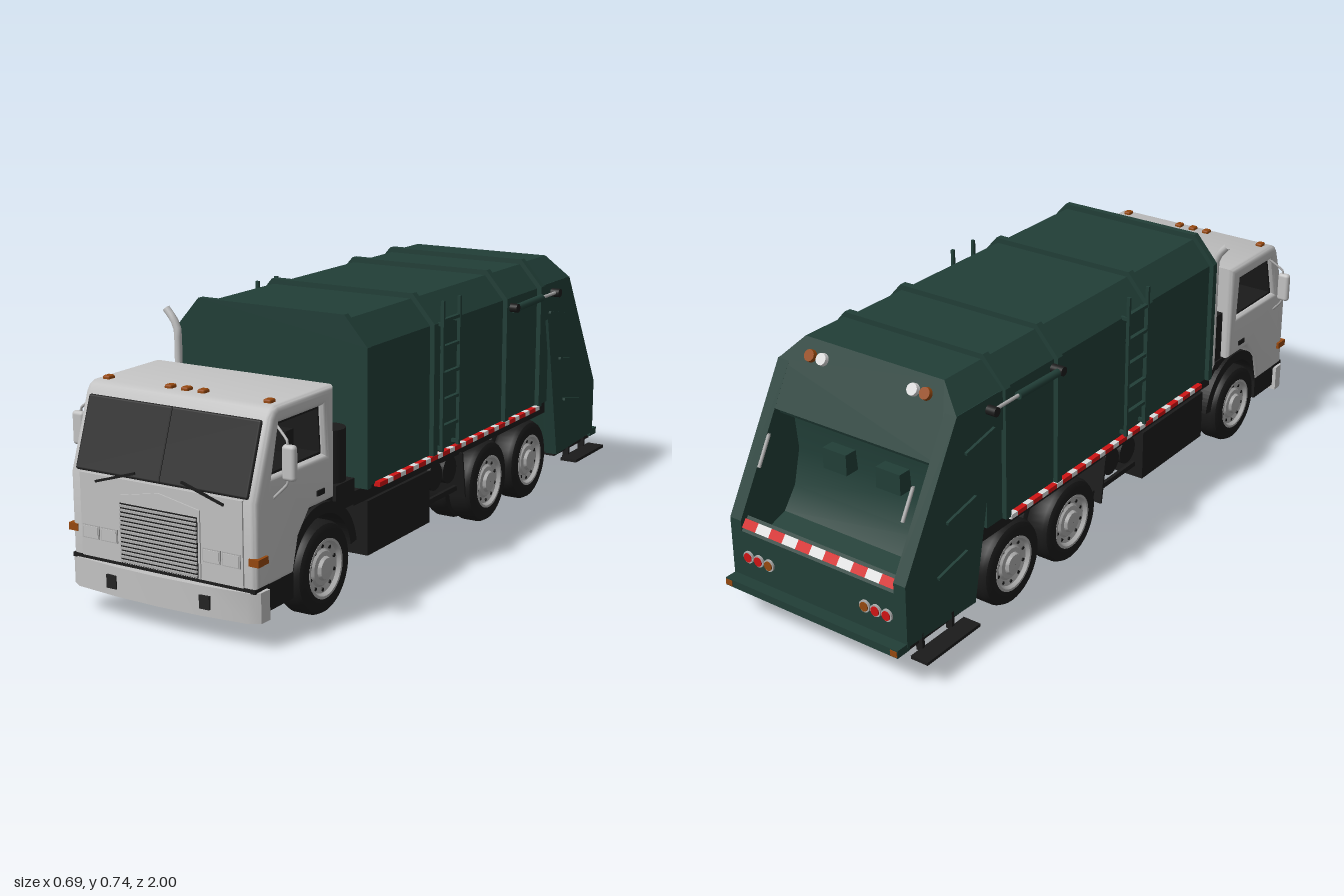
import * as THREE from 'three';
import { toCreasedNormals } from 'three/addons/utils/BufferGeometryUtils.js';
import { RoundedBoxGeometry } from 'three/addons/geometries/RoundedBoxGeometry.js';

const mat = (name, color) => Object.assign(new THREE.MeshStandardMaterial({ color }), { name });

export function createModel() {
  const green = mat('body green', 0x213e37), paint = mat('cab paint', 0xc2c2c2);
  const black = mat('chassis black', 0x1b1b1b), glass = mat('dark glass', 0x242424);
  const metal = mat('wheel metal', 0xadadad), red = mat('reflector red', 0xd01414);
  const white = mat('reflector white', 0xdcdcdc), orange = mat('marker orange', 0x95480f);
  const model = new THREE.Group();

  const add = (name, geo, m, x = 0, y = 0, z = 0, parent = model) => {
    const mesh = new THREE.Mesh(geo, m);
    mesh.name = name;
    mesh.position.set(x, y, z);
    parent.add(mesh);
    return mesh;
  };
  // Box given by its limits on each axis
  const box = (name, m, x0, x1, y0, y1, z0, z1) =>
    add(name, new THREE.BoxGeometry(Math.abs(x1 - x0), y1 - y0, z1 - z0), m, (x0 + x1) / 2, (y0 + y1) / 2, (z0 + z1) / 2);
  const shapeOf = pts => new THREE.Shape(pts.map(p => new THREE.Vector2(...p)));
  // Side profile of [z, y] points, extruded across x
  const across = (pts, x0, x1, holes = [], bevel = 0) => {
    const s = shapeOf(pts);
    s.holes = holes.map(shapeOf);
    const geo = new THREE.ExtrudeGeometry(s, { depth: x1 - x0 - 2 * bevel, bevelEnabled: bevel > 0,
      bevelSize: bevel, bevelThickness: bevel, bevelOffset: -bevel, bevelSegments: 4 });
    return geo.rotateY(-Math.PI / 2).translate(x1 - bevel, 0, 0);
  };
  const along = (pts, depth) => new THREE.ExtrudeGeometry(shapeOf(pts), { depth, bevelEnabled: false });
  const cylX = (name, m, r, x0, x1, y, z) =>
    add(name, new THREE.CylinderGeometry(r, r, Math.abs(x1 - x0), 24).rotateZ(Math.PI / 2), m, (x0 + x1) / 2, y, z);
  const tube = (name, m, r, pts) => add(name, new THREE.TubeGeometry(
    new THREE.CatmullRomCurve3(pts.map(p => new THREE.Vector3(...p)), false, 'catmullrom', 0.1), 24, r, 10), m);
  const both = fn => [1, -1].forEach(fn);
  // Body cross-section with chamfered upper corners
  const section = (w, base, shoulder, top, tw) =>
    [[-w, base], [w, base], [w, shoulder], [tw, top], [-tw, top], [-w, shoulder]];

  // Cab shell with open side windows and front wheel arch
  const windowPts = [[0.665, 0.42], [0.898, 0.42], [0.865, 0.545], [0.675, 0.545]];
  const innerPts = [[0.671, 0.426], [0.889, 0.426], [0.86, 0.539], [0.68, 0.539]];
  const cab = across([[0.62, 0.59], [0.62, 0.295], [0.735, 0.295], [0.785, 0.24], [0.81, 0.15], [0.975, 0.15],
    [0.975, 0.37], [0.905, 0.565], [0.893, 0.582], [0.875, 0.59]], -0.283, 0.283, [windowPts], 0.016);
  add('cabShell', toCreasedNormals(cab, 0.7), paint);
  add('cabLining', across(windowPts, -0.268, 0.268, [innerPts]), black);
  both(s => box('seat', black, s * 0.07, s * 0.2, 0.42, 0.48, 0.685, 0.72));

  // Windshield and its divider
  const ws = new THREE.Group();
  ws.name = 'windshield';
  ws.position.set(0, 0.469, 0.942);
  ws.rotation.x = -0.345;
  model.add(ws);
  add('windshieldGlass', new RoundedBoxGeometry(0.524, 0.192, 0.012, 3, 0.006), glass, 0, 0, 0, ws);
  add('windshieldDivider', new THREE.BoxGeometry(0.004, 0.186, 0.004), black, 0, 0, 0.006, ws);
  both(s => {
    const w = add('wiper', new THREE.BoxGeometry(0.13, 0.006, 0.006), black, s * 0.133, 0.377, 0.982);
    w.rotation.z = -s * 0.3;
  });

  // Nose panel, grille and headlights
  box('nosePanel', paint, -0.247, 0.247, 0.157, 0.375, 0.95, 0.98);
  add('grilleSurround', along([[-0.124, 0.16], [0.124, 0.16], [0.124, 0.333], [0, 0.357], [-0.124, 0.333]], 0.007), paint, 0, 0, 0.977);
  box('grilleBack', black, -0.118, 0.118, 0.16, 0.315, 0.98, 0.985);
  for (let i = 0; i < 14; i++) box('grilleSlat', metal, -0.117, 0.117, 0.163 + i * 0.011, 0.1685 + i * 0.011, 0.982, 0.99);
  both(s => {
    for (const x of [0.157, 0.215]) {
      box('headlightFrame', metal, s * x - 0.026, s * x + 0.026, 0.205, 0.241, 0.978, 0.983);
      box('headlight', paint, s * x - 0.023, s * x + 0.023, 0.208, 0.238, 0.98, 0.985);
    }
    box('cornerMarker', orange, s * 0.262, s * 0.291, 0.215, 0.234, 0.935, 0.978);
    box('doorHandle', black, s * 0.28, s * 0.287, 0.322, 0.336, 0.675, 0.71);
    box('cabStep', black, s * 0.2, s * 0.278, 0.085, 0.155, 0.81, 0.94);
  });
  for (const x of [-0.245, -0.05, 0, 0.05, 0.245])
    add('roofMarker', new RoundedBoxGeometry(0.022, 0.014, 0.026, 2, 0.005), orange, x, 0.592, 0.855);

  // Bumper, curved back at its ends
  const plan = [[-0.29, -0.93], [-0.288, -0.965], [-0.26, -0.982], [-0.13, -0.995], [0, -0.999],
    [0.13, -0.995], [0.26, -0.982], [0.288, -0.965], [0.29, -0.93]];
  add('frontBumper', toCreasedNormals(along(plan, 0.078).rotateX(-Math.PI / 2), 0.7), paint, 0, 0.07, 0);
  box('bumperGap', black, -0.28, 0.28, 0.146, 0.157, 0.92, 0.978);
  both(s => box('towSlot', glass, s * 0.143 - 0.015, s * 0.143 + 0.015, 0.09, 0.125, 0.99, 0.999));

  // Mirrors on bent arms
  both(s => {
    add('mirror', new RoundedBoxGeometry(0.038, 0.09, 0.022, 3, 0.01), paint, s * 0.321, 0.457, 0.885);
    tube('mirrorArm', metal, 0.0035, [[s * 0.27, 0.545, 0.87], [s * 0.315, 0.51, 0.885],
      [s * 0.315, 0.405, 0.885], [s * 0.275, 0.36, 0.9]]);
  });

  // Exhaust stack and equipment behind the cab
  tube('exhaustStack', paint, 0.011, [[-0.19, 0.285, 0.52], [-0.265, 0.29, 0.52], [-0.278, 0.31, 0.52],
    [-0.278, 0.5, 0.52], [-0.278, 0.65, 0.52], [-0.29, 0.68, 0.52], [-0.315, 0.708, 0.52]]);
  add('airCleaner', new THREE.CylinderGeometry(0.045, 0.045, 0.17, 24), black, 0.225, 0.375, 0.56);
  box('airIntake', black, 0.19, 0.275, 0.25, 0.32, 0.515, 0.605);
  box('engineCover', black, -0.18, 0.17, 0.25, 0.36, 0.52, 0.62);
  cylX('crossTank', black, 0.04, -0.18, 0.17, 0.4, 0.56);
  box('rearCabBox', black, -0.26, -0.19, 0.25, 0.45, 0.54, 0.61);

  // Main body and ribs
  add('body', along(section(0.286, 0.285, 0.655, 0.725, 0.225), 1.1), green, 0, 0, -0.63 + 0.01);
  for (const [z, d] of [[0.47, 0.02], [0.115, 0.022], [-0.325, 0.022], [-0.555, 0.022]])
    add('bodyRib', along(section(0.3, 0.285, 0.66, 0.74, 0.23), d), green, 0, 0, z);
  both(s => {
    // Side ladder
    for (const z of [0.004, 0.1]) {
      box('ladderRail', green, s * 0.3, s * 0.31, 0.295, 0.72, z - 0.004, z + 0.004);
      for (const y of [0.3, 0.65]) box('ladderBracket', green, s * 0.28, s * 0.31, y, y + 0.01, z - 0.004, z + 0.004);
    }
    for (let i = 0; i < 5; i++) box('ladderRung', green, s * 0.297, s * 0.309, 0.36 + i * 0.075, 0.369 + i * 0.075, 0.004, 0.1);
    // Reflective side strip
    for (let i = 0; i < 14; i++) {
      const z = 0.43 - i * 0.069;
      box('redReflector', red, s * 0.284, s * 0.302, 0.277, 0.29, z - 0.041, z);
      box('whiteReflector', white, s * 0.284, s * 0.302, 0.277, 0.29, z - 0.069, z - 0.041);
    }
    // Tailgate lift cylinder
    const lift = add('liftCylinder', new THREE.CylinderGeometry(0.011, 0.011, 0.19, 16).rotateX(Math.PI / 2), green, s * 0.31, 0.63, -0.42);
    lift.rotation.x = 0.02;
    add('liftRod', new THREE.CylinderGeometry(0.005, 0.005, 0.13, 12).rotateX(Math.PI / 2), metal, s * 0.31, 0.632, -0.56);
    for (const z of [-0.33, -0.62]) cylX('liftPin', black, 0.013, s * 0.285, s * 0.323, 0.631, z);
  });

  // Tailgate top: chamfered section sheared to the rear slope
  const slopeZ = y => -0.71 - (0.725 - y) * 0.57;
  const upper = along(section(0.295, 0.55, 0.66, 0.728, 0.228), 1);
  const p = upper.attributes.position;
  for (let i = 0; i < p.count; i++) p.setZ(i, p.getZ(i) < 0.5 ? slopeZ(p.getY(i)) : -0.56);
  upper.computeVertexNormals();
  add('tailgateTop', upper, green);
  // Hopper with scooped floor, between the side plates
  add('hopper', toCreasedNormals(across([[-0.6, 0.56], [-0.803, 0.56], [-0.79, 0.53], [-0.74, 0.5], [-0.73, 0.4],
    [-0.755, 0.3], [-0.8, 0.24], [-0.86, 0.22], [-0.91, 0.24], [-0.935, 0.29], [-0.962, 0.255],
    [-0.962, 0.11], [-0.69, 0.1], [-0.62, 0.4]], -0.258, 0.258), 0.6), green);
  both(s => {
    const x0 = s > 0 ? 0.257 : -0.295;
    add('tailgateSide', across([[-0.575, 0.662], [-0.746, 0.662], [-0.962, 0.285], [-0.962, 0.11], [-0.685, 0.098]], x0, x0 + 0.038), green);
    box('packerLug', green, s * 0.05, s * 0.13, 0.4, 0.46, -0.775, -0.73);
    // Slanted stiffeners on the side plate
    for (const [y, z] of [[0.56, -0.66], [0.4, -0.74], [0.26, -0.78]]) {
      const rib = add('sideStiffener', new THREE.BoxGeometry(0.014, 0.008, 0.12), green, s * 0.296, y, z);
      rib.rotation.x = -0.2;
    }
    const grab = [[0.24, 0.5], [0.24, 0.42]].map(([x, y]) => [s * x, y, slopeZ(y) - 0.015]);
    tube('grabHandle', metal, 0.005, grab);
    // Work lights on the slope
    for (const [x, m] of [[0.15, white], [0.19, orange]]) {
      const l = add('workLight', new THREE.CylinderGeometry(0.016, 0.018, 0.016, 20), m, s * x, 0.69, slopeZ(0.69) - 0.004);
      l.rotation.x = -1.054;
    }
    // Tail lights
    [red, red, orange].forEach((m, i) => {
      const x = s * (0.235 - i * 0.036);
      add('tailLightRim', new THREE.CylinderGeometry(0.017, 0.017, 0.008, 20).rotateX(Math.PI / 2), metal, x, 0.185, -0.964);
      add('tailLight', new THREE.CylinderGeometry(0.013, 0.013, 0.008, 20).rotateX(Math.PI / 2), m, x, 0.185, -0.967);
    });
    // Riding step
    box('ridingStep', black, s * 0.29, s * 0.344, 0.067, 0.076, -0.945, -0.73);
    for (const z of [-0.9, -0.78]) box('stepHanger', black, s * 0.275, s * 0.295, 0.067, 0.12, z - 0.005, z + 0.005);
    box('endMarker', orange, s * 0.27, s * 0.292, 0.1, 0.116, -1, -0.985);
  });
  for (let i = 0; i < 11; i++) {
    const r = add('sillReflector', new THREE.BoxGeometry(0.0465, 0.026, 0.006), i % 2 ? white : red, -0.2325 + i * 0.0465, 0.274, -0.951);
    r.rotation.x = 0.66;
  }
  box('rearBumper', green, -0.293, 0.293, 0.097, 0.119, -0.998, -0.95);
  box('tailgateFloor', black, -0.285, 0.285, 0.09, 0.1, -0.96, -0.69);

  // Chassis
  box('subframe', black, -0.275, 0.275, 0.245, 0.284, -0.63, 0.52);
  box('cabFloor', black, -0.2, 0.2, 0.1, 0.3, 0.55, 0.93);
  box('cabRearFloor', black, -0.265, 0.265, 0.27, 0.297, 0.55, 0.72);
  box('gearbox', black, -0.07, 0.07, 0.12, 0.25, 0.25, 0.56);
  add('driveShaft', new THREE.CylinderGeometry(0.018, 0.018, 0.8, 12).rotateX(Math.PI / 2), black, 0, 0.15, -0.1);
  both(s => {
    box('frameRail', black, s * 0.08, s * 0.115, 0.17, 0.25, -0.68, 0.6);
    box('sideTank', black, s * 0.13, s * 0.285, 0.095, 0.245, 0.13, 0.465);
    for (const z of [0.07, -0.015]) cylX('airTank', black, 0.04, s * 0.1, s * 0.27, 0.21, z);
    box('sideRail', black, s * 0.25, s * 0.26, 0.13, 0.145, -0.1, 0.13);
    const flap = box('mudflap', black, s * 0.135, s * 0.285, 0.11, 0.25, -0.078, -0.072);
    flap.rotation.x = 0.15;
    // Front fender arch
    const arch = new THREE.Shape();
    arch.absarc(0.672, 0.125, 0.168, 0.15, Math.PI - 0.15, false);
    arch.absarc(0.672, 0.125, 0.138, Math.PI - 0.15, 0.15, true);
    const x0 = s > 0 ? 0.18 : -0.276;
    add('frontFender', across(arch.getPoints(20).map(v => [v.x, v.y]), x0, x0 + 0.096), black);
  });

  // Wheels and axles
  const v2 = pts => pts.map(q => new THREE.Vector2(...q));
  const tyreGeo = toCreasedNormals(new THREE.LatheGeometry(v2([[0.07, -0.03], [0.078, -0.039], [0.102, -0.041],
    [0.116, -0.034], [0.122, -0.022], [0.122, 0.022], [0.116, 0.034], [0.102, 0.041], [0.078, 0.039], [0.07, 0.03]]), 40), 0.6);
  const rimGeo = toCreasedNormals(new THREE.LatheGeometry(v2([[0.078, -0.035], [0.079, 0.04], [0.072, 0.04], [0.066, 0.03],
    [0.05, 0.026], [0.044, 0.032], [0.032, 0.034], [0.028, 0.043], [0.001, 0.045]]), 36), 0.5);
  const wheel = (name, s, x, z, rim) => {
    const g = new THREE.Group();
    g.name = name;
    g.position.set(s * x, 0.122, z);
    g.rotation.z = -s * Math.PI / 2;
    model.add(g);
    add('tyre', tyreGeo, black, 0, 0, 0, g);
    add('hubBack', new THREE.CylinderGeometry(0.076, 0.076, 0.04, 28), black, 0, -0.012, 0, g);
    if (!rim) return;
    add('rim', rimGeo, metal, 0, 0, 0, g);
    for (let i = 0; i < 10; i++) {
      const a = i * Math.PI / 5;
      add('rimHole', new THREE.CylinderGeometry(0.005, 0.005, 0.006, 10), black, 0.058 * Math.cos(a), 0.027, 0.058 * Math.sin(a), g);
    }
  };
  both(s => {
    wheel('frontWheel', s, 0.247, 0.672, true);
    for (const z of [-0.233, -0.506]) {
      wheel('rearOuterWheel', s, 0.247, z, true);
      wheel('rearInnerWheel', s, 0.165, z, false);
    }
  });
  for (const z of [0.672, -0.233, -0.506]) {
    cylX('axle', black, 0.025, -0.22, 0.22, 0.122, z);
    if (z < 0) add('differential', new THREE.SphereGeometry(0.06, 20, 14), black, 0, 0.13, z);
  }
  return model;
}
